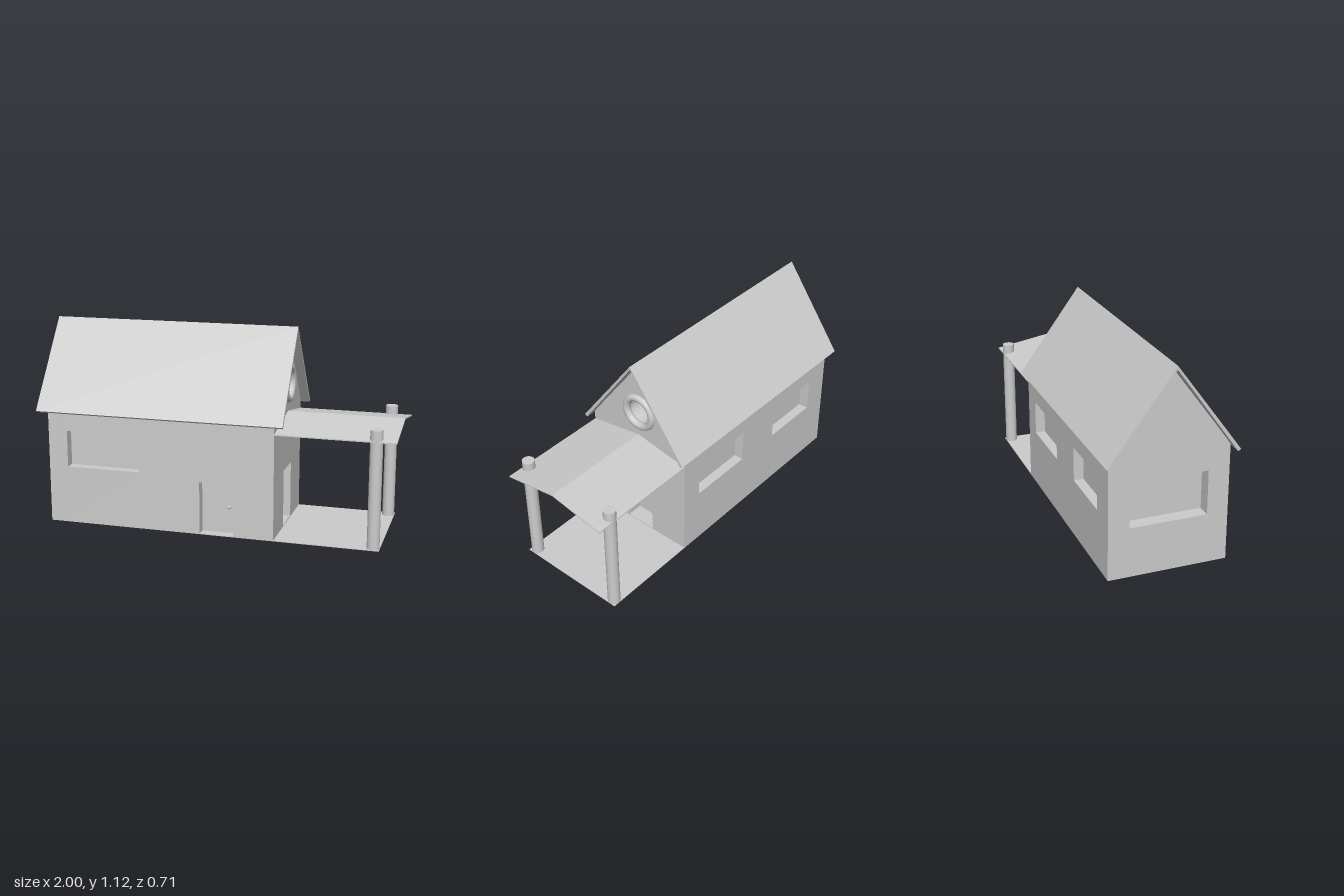
import * as THREE from 'three';

export function createModel() {
  const house = new THREE.Group();
  house.name = 'house';
  const grey = new THREE.MeshStandardMaterial({ color: 0xcccccc });
  grey.name = 'plain grey';

  const add = (name, geometry, x = 0, y = 0, z = 0, rotY = 0) => {
    const mesh = new THREE.Mesh(geometry, grey);
    mesh.name = name;
    mesh.position.set(x, y, z);
    mesh.rotation.y = rotY;
    house.add(mesh);
    return mesh;
  };
  const outline = (points) => new THREE.Shape(points.map(([x, y]) => new THREE.Vector2(x, y)));
  const rect = (x0, x1, y0, y1) => outline([[x0, y0], [x1, y0], [x1, y1], [x0, y1]]);
  const extrude = (shape, depth, holes = []) => {
    shape.holes.push(...holes);
    return new THREE.ExtrudeGeometry(shape, { depth, bevelEnabled: false, curveSegments: 24 });
  };
  const quarter = Math.PI / 2;

  // Main dimensions
  const left = -0.94, right = 0.355, halfZ = 0.325, eaves = 0.65;
  const sideDepth = 0.055, doorDepth = 0.09, endDepth = 0.075;
  const x0 = left + endDepth, x1 = right - doorDepth;

  // Gable outline, shared by both end walls and the inner core
  const gable = (h, apex) => outline([[-h, 0], [h, 0], [h, eaves], [0, apex], [-h, eaves]]);

  // Long walls with recessed openings
  add('frontWall', extrude(rect(x0, x1, 0, eaves), sideDepth, [
    rect(-0.83, -0.41, 0.325, 0.53),
    rect(-0.06, 0.13, 0.004, 0.297),
  ]), 0, 0, halfZ - sideDepth);
  add('backWall', extrude(rect(-x1, -x0, 0, eaves), sideDepth, [
    rect(-0.23, 0.155, 0.325, 0.515),
    rect(0.437, 0.79, 0.325, 0.515),
  ]), 0, 0, -halfZ + sideDepth, Math.PI);

  // End walls: porch side with door and round window, far side with wide window
  const roundHole = new THREE.Path().absarc(0.01, 0.805, 0.075, 0, Math.PI * 2);
  add('porchEndWall', extrude(gable(halfZ, 1.09), doorDepth, [
    rect(-0.09, 0.09, 0.01, 0.33), roundHole,
  ]), x1, 0, 0, quarter);
  add('farEndWall', extrude(gable(halfZ, 1.09), endDepth, [
    rect(-0.21, 0.21, 0.275, 0.52),
  ]), x0, 0, 0, -quarter);

  // Inner core forms the door and window panels
  add('innerPanels', extrude(gable(halfZ - sideDepth, 1.02), x1 - x0), x0, 0, 0, quarter);

  // Round window frame
  add('roundWindowFrame', new THREE.TorusGeometry(0.0885, 0.021, 16, 48), right, 0.805, -0.01, quarter);

  // Door knobs
  const knob = new THREE.SphereGeometry(0.01, 16, 12);
  add('frontDoorKnob', knob, 0.097, 0.155, halfZ - sideDepth + 0.009);
  add('porchDoorKnob', knob, x1 + 0.009, 0.164, -0.052);

  // Steep main roof
  add('mainRoof', extrude(outline([
    [-0.353, 0.64], [-0.337, 0.63], [0, 1.1], [0.337, 0.63], [0.353, 0.64], [0, 1.12],
  ]), 1.405), -1, 0, 0, quarter);

  // Shallow porch canopy
  add('porchCanopy', extrude(outline([
    [-halfZ, 0.588], [0, 0.644], [halfZ, 0.588], [halfZ, 0.594], [0, 0.65], [-halfZ, 0.594],
  ]), 1 - right), right, 0, 0, quarter);

  // Porch floor and posts
  add('porchFloor', new THREE.BoxGeometry(0.925 - right, 0.004, halfZ * 2), (0.925 + right) / 2, 0.002, 0);
  const post = new THREE.CylinderGeometry(0.034, 0.034, eaves, 32);
  for (const side of [1, -1]) add('porchPost', post, 0.89, eaves / 2, side * 0.291);

  return house;
}
